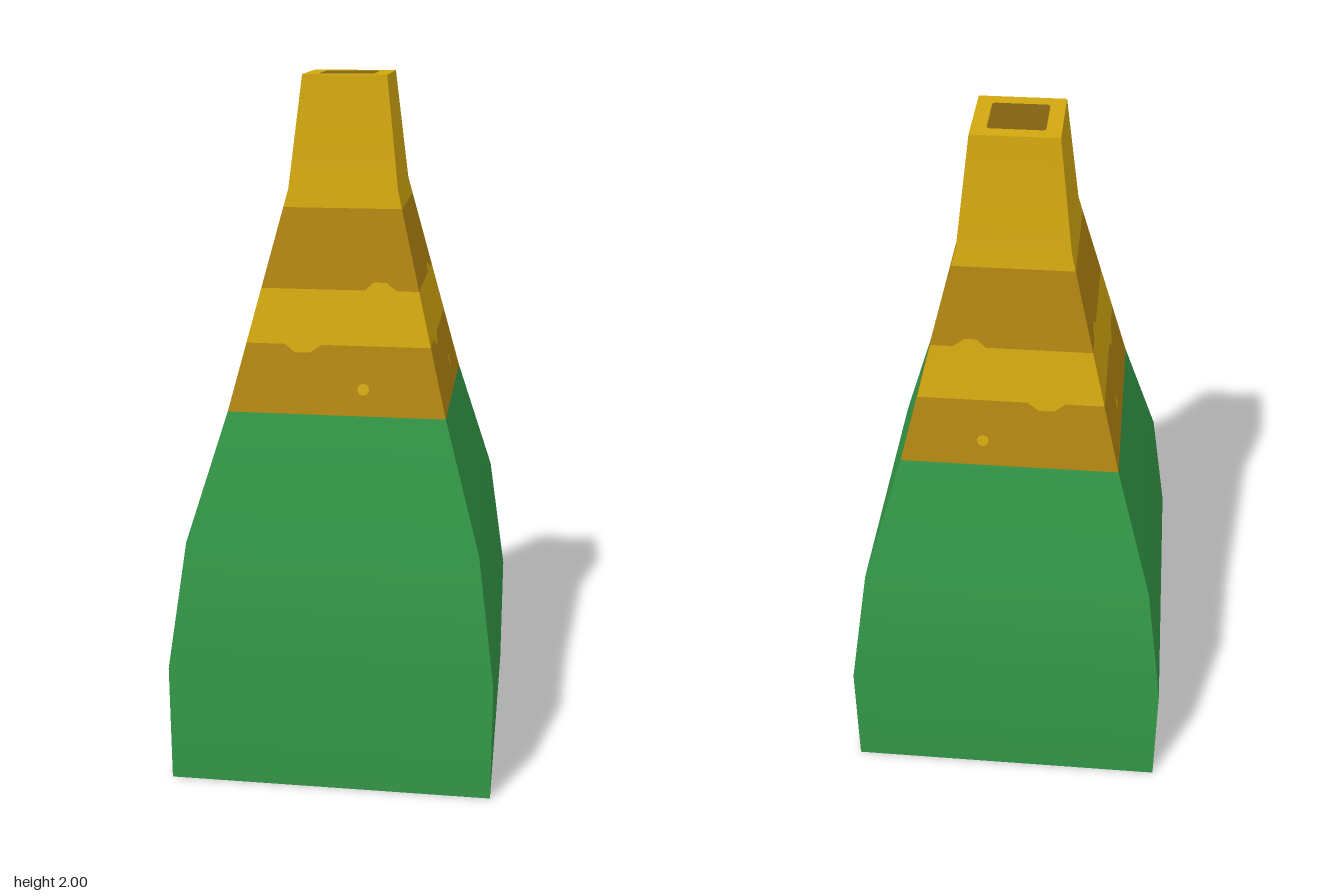
import * as THREE from 'three';
import { mergeGeometries } from 'three/addons/utils/BufferGeometryUtils.js';

// half-width of the square bottle at each height
const PROFILE = [[0, 0.465], [0.35, 0.465], [0.72, 0.414], [1.08, 0.308], [1.69, 0.154], [2, 0.118]];

// slope of each profile segment, averaged at the bends for smooth shading
const segSlope = PROFILE.slice(1).map(([y, r], i) => (PROFILE[i][1] - r) / (y - PROFILE[i][0]));
const bendSlope = PROFILE.map((_, i) => {
  const a = segSlope[Math.max(i - 1, 0)], b = segSlope[Math.min(i, segSlope.length - 1)];
  return (a + b) / 2;
});

function at(y) {
  let i = 0;
  while (i < PROFILE.length - 2 && y > PROFILE[i + 1][0]) i++;
  const t = (y - PROFILE[i][0]) / (PROFILE[i + 1][0] - PROFILE[i][0]);
  return {
    r: THREE.MathUtils.lerp(PROFILE[i][1], PROFILE[i + 1][1], t),
    slope: THREE.MathUtils.lerp(bendSlope[i], bendSlope[i + 1], t),
  };
}

// band edges: level lines with one small flat-topped bump
const level = (y) => () => y;
const bumped = (y, centre, height) => (s) => {
  const d = Math.abs(s - centre);
  return y + height * THREE.MathUtils.clamp((0.2 - d) / 0.12, 0, 1);
};
const COLUMNS = [-1, -0.58, -0.46, -0.38, -0.3, -0.18, 0, 0.32, 0.44, 0.52, 0.6, 0.72, 1];

// front panel through a list of edge curves, bottom to top
function panel(edges) {
  const pos = [], nor = [], idx = [], n = COLUMNS.length;
  edges.forEach((edge, j) => COLUMNS.forEach((s, i) => {
    const y = edge(s), { r, slope } = at(y), len = Math.hypot(1, slope);
    pos.push(s * r, y, r);
    nor.push(0, slope / len, 1 / len);
    if (j && i) {
      const d = j * n + i, c = d - 1, b = d - n, a = b - 1;
      idx.push(a, b, d, a, d, c);
    }
  }));
  const g = new THREE.BufferGeometry();
  g.setAttribute('position', new THREE.Float32BufferAttribute(pos, 3));
  g.setAttribute('normal', new THREE.Float32BufferAttribute(nor, 3));
  g.setIndex(idx);
  return g;
}

// mirrored copy with its faces turned the right way
function mirrored(g, x, z) {
  const m = g.clone().applyMatrix4(new THREE.Matrix4().makeScale(x, 1, z));
  const a = m.index.array;
  for (let i = 0; i < a.length; i += 3) [a[i], a[i + 1]] = [a[i + 1], a[i]];
  return m;
}

// repeat a front piece on all four sides
function fourSides(front) {
  const right = front.clone().rotateY(Math.PI / 2);
  return mergeGeometries([front, right, mirrored(front, 1, -1), mirrored(right, -1, 1)]);
}

// square outline with small clipped corners
function clippedSquare(h, c) {
  return [[-h + c, -h], [h - c, -h], [h, -h + c], [h, h - c], [h - c, h], [-h + c, h], [-h, h - c], [-h, -h + c]]
    .map(([x, y]) => new THREE.Vector2(x, y));
}

export function createModel() {
  const group = new THREE.Group();
  const material = (name, color) => {
    const m = new THREE.MeshStandardMaterial({ color, side: THREE.DoubleSide });
    m.name = name;
    return m;
  };
  const green = material('green', 0x339747);
  const amber = material('amber', 0xd2a710);
  const brown = material('brown', 0xb08412);
  const darkBrown = material('darkBrown', 0x826010);

  const add = (name, geometry, mat) => {
    const mesh = new THREE.Mesh(geometry, mat);
    mesh.name = name;
    group.add(mesh);
  };

  // body, open underneath
  add('body', fourSides(panel([0, 0.35, 0.72, 1.08].map(level))), green);

  // banded shoulder and neck
  const e1 = level(1.08), e2 = bumped(1.27, -0.38, -0.022);
  const e3 = bumped(1.42, 0.52, 0.022), e4 = level(1.64);
  add('lowerBrownBand', fourSides(panel([e1, e2])), brown);
  add('amberBand', fourSides(panel([e2, e3])), amber);
  add('upperBrownBand', fourSides(panel([e3, e4])), brown);
  add('neck', fourSides(panel([e4, level(1.69), level(2)])), amber);

  // small amber spot on each side, lying on the sloping wall
  const spot = new THREE.CircleGeometry(0.017, 8);
  spot.rotateX(-Math.atan(segSlope[3]));
  spot.translate(0.075, 1.153, at(1.153).r + 0.002);
  add('spots', fourSides(spot), amber);

  // flat top: rim around a dark square
  const inner = clippedSquare(0.077, 0.007);
  const h = PROFILE[5][1];
  const rim = new THREE.Shape(clippedSquare(h, 0));
  rim.holes.push(new THREE.Path(inner));
  const flat = (shape) => new THREE.ShapeGeometry(shape).rotateX(-Math.PI / 2).translate(0, 2, 0);
  add('topRim', flat(rim), amber);
  add('topSquare', flat(new THREE.Shape(inner)), darkBrown);

  return group;
}
